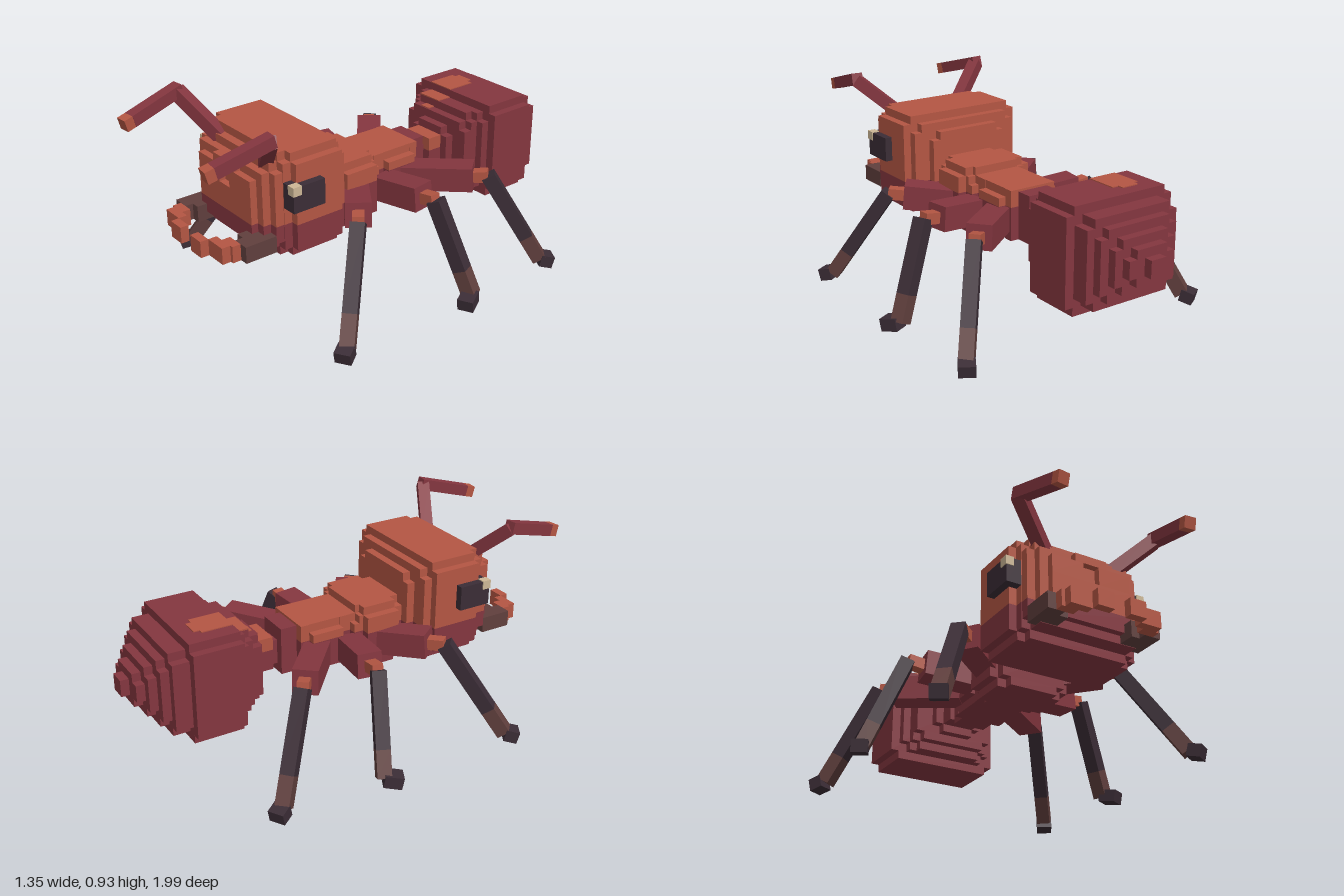
import * as THREE from 'three';

const mat = (name, color) => {
  const m = new THREE.MeshStandardMaterial({ color });
  m.name = name;
  return m;
};

export function createModel() {
  const orange = mat('rust orange', 0xb45643);
  const maroon = mat('maroon', 0x84363f);
  const dark = mat('dark shell', 0x3b2d36);
  const brown = mat('brown', 0x603f3d);
  const cream = mat('cream', 0xcdb796);

  const model = new THREE.Group();
  model.name = 'ant';
  const group = (name, parent = model) => {
    const g = new THREE.Group();
    g.name = name;
    parent.add(g);
    return g;
  };

  // Box given by its limits on each axis
  const block = (parent, name, material, x0, x1, y0, y1, z0, z1) => {
    const mesh = new THREE.Mesh(new THREE.BoxGeometry(Math.abs(x1 - x0), y1 - y0, z1 - z0), material);
    mesh.position.set((x0 + x1) / 2, (y0 + y1) / 2, (z0 + z1) / 2);
    mesh.name = name;
    parent.add(mesh);
  };

  // Square bar between two points
  const beam = (parent, name, material, a, b, w, h = w) => {
    const p = new THREE.Vector3(...a), q = new THREE.Vector3(...b);
    const mesh = new THREE.Mesh(new THREE.BoxGeometry(w, h, p.distanceTo(q)), material);
    mesh.position.copy(p).add(q).multiplyScalar(0.5);
    mesh.lookAt(q);
    mesh.name = name;
    parent.add(mesh);
  };

  // Body slice with notched corners; maroon below the split height, orange above
  const slice = (parent, name, [z0, z1, w, y0, y1, cut = 0.037], split) => {
    const bands = [[y0, y0 + cut, w - cut], [y0 + cut, y1 - cut, w], [y1 - cut, y1, w - cut]];
    for (const [a, b, half] of bands) {
      if (b - a < 0.001) continue;
      const mid = Math.min(b, Math.max(a, split));
      if (mid - a > 0.001) block(parent, name, maroon, -half, half, a, mid, z0, z1);
      if (b - mid > 0.001) block(parent, name, orange, -half, half, mid, b, z0, z1);
    }
  };

  // Head
  const head = group('head');
  [
    [0.28, 0.317, 0.19, 0.415, 0.717],
    [0.317, 0.355, 0.265, 0.378, 0.754],
    [0.355, 0.58, 0.3, 0.34, 0.79],
    [0.58, 0.617, 0.265, 0.34, 0.79],
    [0.617, 0.655, 0.262, 0.378, 0.754],
    [0.655, 0.69, 0.225, 0.378, 0.717, 0],
  ].forEach((s) => slice(head, 'headSlice', s, 0.49));
  // Face plate with a small square recess
  block(head, 'lowerFace', maroon, -0.186, 0.186, 0.415, 0.49, 0.69, 0.72);
  block(head, 'midFace', orange, -0.186, 0.186, 0.49, 0.6, 0.69, 0.72);
  for (const s of [-1, 1]) block(head, 'faceSide', orange, s * 0.037, s * 0.186, 0.6, 0.68, 0.69, 0.72);
  block(head, 'brow', orange, -0.075, 0.075, 0.68, 0.717, 0.69, 0.72);

  // Thorax, waist and abdomen
  const thorax = group('thorax');
  [
    [0.24, 0.28, 0.15, 0.305, 0.6],
    [0.08, 0.24, 0.19, 0.305, 0.6],
    [0.06, 0.08, 0.15, 0.305, 0.6],
    [0.035, 0.06, 0.15, 0.34, 0.565],
    [-0.02, 0.035, 0.115, 0.34, 0.565, 0],
    [-0.17, -0.02, 0.15, 0.34, 0.565],
    [-0.21, -0.17, 0.115, 0.34, 0.565, 0],
  ].forEach((s) => slice(thorax, 'thoraxSlice', s, 0.49));
  const waist = group('waist');
  block(waist, 'waistFront', maroon, -0.075, 0.075, 0.34, 0.555, -0.285, -0.21);
  block(waist, 'waistLink', maroon, -0.037, 0.037, 0.378, 0.49, -0.33, -0.285);
  block(waist, 'waistLower', maroon, -0.075, 0.075, 0.378, 0.47, -0.4, -0.325);
  block(waist, 'waistBump', orange, -0.075, 0.075, 0.47, 0.53, -0.4, -0.325);

  const abdomen = group('abdomen');
  [
    [-0.995, -0.958, 0.037, 0.418, 0.492, 0],
    [-0.958, -0.92, 0.112, 0.38, 0.53],
    [-0.92, -0.883, 0.15, 0.343, 0.567],
    [-0.883, -0.845, 0.19, 0.305, 0.605],
    [-0.845, -0.77, 0.225, 0.268, 0.642],
    [-0.77, -0.547, 0.265, 0.23, 0.68],
    [-0.547, -0.51, 0.225, 0.268, 0.642],
    [-0.51, -0.475, 0.19, 0.268, 0.642],
    [-0.475, -0.435, 0.19, 0.305, 0.605],
    [-0.435, -0.395, 0.112, 0.343, 0.567],
  ].forEach((s) => slice(abdomen, 'abdomenSlice', s, 2));
  // Orange patch following the steps on the abdomen's top
  [
    [-0.71, -0.685, -0.14, -0.06, 0.68],
    [-0.685, -0.547, -0.16, -0.03, 0.68],
    [-0.547, -0.475, -0.155, -0.03, 0.642],
    [-0.475, -0.44, -0.11, -0.06, 0.605],
  ].forEach(([z0, z1, x0, x1, y]) => block(abdomen, 'patch', orange, x0, x1, y - 0.002, y + 0.004, z0, z1));

  // Leg joints: hip, knee start, knee end, ankle, toe
  const legs = {
    frontLeg: [[0.13, 0.43, 0.15], [0.335, 0.455, 0.3], [0.39, 0.46, 0.345], [0.58, 0.05, 0.555], [0.61, 0.035, 0.605]],
    middleLeg: [[0.14, 0.43, 0.01], [0.37, 0.45, -0.025], [0.44, 0.46, -0.03], [0.605, 0.05, -0.1], [0.64, 0.035, -0.03]],
    rearLeg: [[0.12, 0.43, -0.13], [0.36, 0.45, -0.33], [0.41, 0.46, -0.37], [0.575, 0.05, -0.555], [0.605, 0.035, -0.605]],
  };

  for (const s of [1, -1]) {
    const side = s > 0 ? 'left' : 'right';
    const flip = ([x, y, z]) => [s * x, y, z];

    for (const [name, points] of Object.entries(legs)) {
      const leg = group(`${side} ${name}`);
      const [hip, knee, bend, ankle, toe] = points.map(flip);
      const shin = bend.map((v, i) => v + (ankle[i] - v) * 0.73);
      beam(leg, 'thigh', maroon, hip, knee, 0.11, 0.11);
      beam(leg, 'knee', orange, knee, bend, 0.05);
      beam(leg, 'shin', dark, bend, shin, 0.062);
      beam(leg, 'lowerShin', brown, shin, ankle, 0.062);
      beam(leg, 'foot', dark, ankle, toe, 0.07, 0.055);
    }

    // Eye with a light corner
    const eye = group(`${side} eye`, head);
    block(eye, 'eyeball', dark, s * 0.262, s * 0.333, 0.565, 0.675, 0.465, 0.617);
    block(eye, 'glint', cream, s * 0.3, s * 0.337, 0.64, 0.679, 0.58, 0.621);

    // Antenna
    const antenna = group(`${side} antenna`, head);
    const elbow = flip([0.335, 0.9, 0.72]);
    beam(antenna, 'antennaBase', maroon, flip([0.155, 0.73, 0.625]), elbow, 0.055);
    beam(antenna, 'antennaShaft', maroon, flip([0.335, 0.908, 0.705]), flip([0.306, 0.841, 0.95]), 0.052);
    beam(antenna, 'antennaTip', orange, flip([0.306, 0.841, 0.95]), flip([0.302, 0.831, 0.988]), 0.052);

    // Stepped mandible curving inwards
    const mandible = group(`${side} mandible`, head);
    [
      [0.15, 0.262, 0.655, 0.765, brown],
      [0.187, 0.262, 0.765, 0.8, brown],
      [0.15, 0.225, 0.8, 0.838, orange],
      [0.112, 0.21, 0.838, 0.876, orange],
      [0.037, 0.112, 0.876, 0.913, orange],
    ].forEach(([x0, x1, z0, z1, m]) => block(mandible, 'mandibleStep', m, s * x0, s * x1, 0.38, 0.452, z0, z1));
  }
  return model;
}
